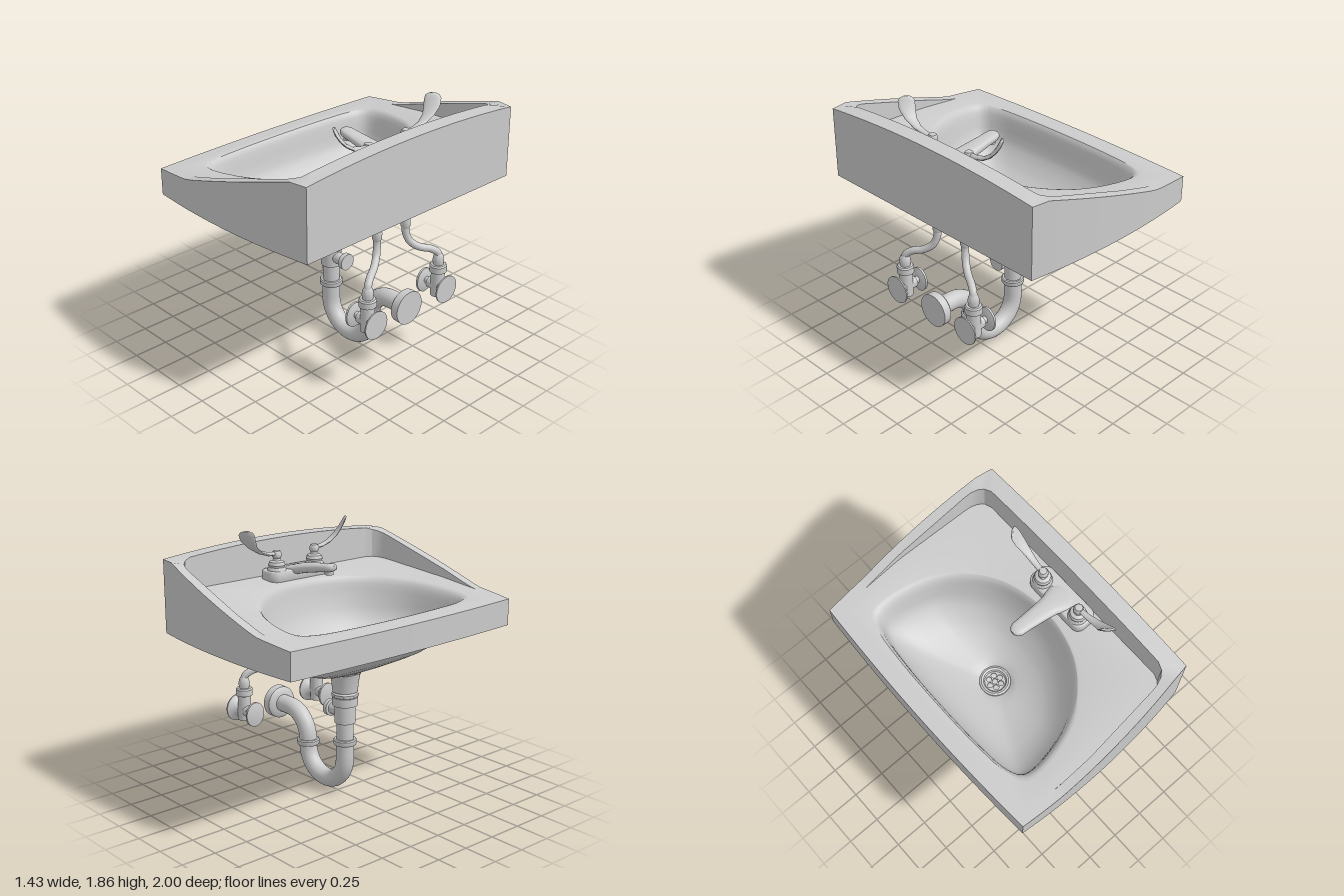
import * as THREE from 'three';
import { toCreasedNormals } from 'three/addons/utils/BufferGeometryUtils.js';

const mat = new THREE.MeshStandardMaterial({ color: 0xcccccc, side: THREE.DoubleSide });
const V = (x, y, z) => new THREE.Vector3(x, y, z);
const TAU = Math.PI * 2;

function add(parent, name, geo, pos = [0, 0, 0], crease = 0.6) {
  const mesh = new THREE.Mesh(toCreasedNormals(geo, crease), mat);
  mesh.name = name;
  mesh.position.set(...pos);
  parent.add(mesh);
  return mesh;
}

// Turned part: profile of [radius, height], optionally laid along +x
function turned(parent, name, profile, pos, alongX = false, segments = 32) {
  const geo = new THREE.LatheGeometry(profile.map(([r, h]) => new THREE.Vector2(r, h)), segments);
  if (alongX) geo.rotateZ(-Math.PI / 2);
  return add(parent, name, geo, pos);
}

// Skin over closed rings of equal point count, with optional end caps
function loft(rings, capped = false) {
  const n = rings[0].length, index = [];
  for (let j = 0; j < rings.length - 1; j++) {
    for (let i = 0; i < n; i++) {
      const a = j * n + i, b = j * n + (i + 1) % n, d = a + n, c = b + n;
      index.push(a, d, b, b, d, c);
    }
  }
  if (capped) {
    const last = (rings.length - 1) * n;
    for (let i = 1; i < n - 1; i++) index.push(0, i, i + 1, last, last + i + 1, last + i);
  }
  const geo = new THREE.BufferGeometry().setFromPoints(rings.flat());
  geo.setIndex(index);
  return geo;
}

function interpolate(table, x) {
  if (x <= table[0][0]) return table[0][1];
  for (let i = 1; i < table.length; i++) {
    const [x0, y0] = table[i - 1], [x1, y1] = table[i];
    if (x <= x1) return y0 + (y1 - y0) * (x - x0) / (x1 - x0);
  }
  return table[table.length - 1][1];
}

// Distance from the drain centre to an outline, in a given direction
const CX = -0.08;
function reach(poly, angle) {
  const c = Math.cos(angle), s = Math.sin(angle);
  let best = 0;
  poly.forEach((p, i) => {
    const q = poly[(i + 1) % poly.length];
    const px = p.x - CX, ex = q.x - p.x, ey = q.y - p.y;
    const det = c * ey - s * ex;
    if (Math.abs(det) < 1e-9) return;
    const t = (px * ey - p.y * ex) / det, u = (px * s - p.y * c) / det;
    if (u >= -1e-6 && u <= 1 + 1e-6) best = Math.max(best, t);
  });
  return best;
}

function basin(parent) {
  const BASE = 1.19, FRONT = -0.69, BACK = 0.705;
  // Outer outline: bowed front and sides, straight back
  const sideZ = x => 1 - 0.098 * (x + 0.15) ** 2;
  const side = Array.from({ length: 25 }, (_, i) => FRONT + (BACK - FRONT) * i / 24);
  const outer = [
    ...side.map(x => new THREE.Vector2(x, -sideZ(x))),
    ...side.map(x => new THREE.Vector2(x, sideZ(x))).reverse(),
  ];
  for (let i = 1; i < 24; i++) {
    const k = 1 - i / 12;
    outer.push(new THREE.Vector2(FRONT - 0.03 * (1 - k * k), k * sideZ(FRONT)));
  }
  // Sunken deck outline
  const deckShape = new THREE.Shape();
  deckShape.moveTo(-0.62, -0.925);
  deckShape.lineTo(-0.4, -0.93);
  deckShape.lineTo(-0.1, -0.935);
  deckShape.lineTo(0.46, -0.9);
  deckShape.quadraticCurveTo(0.575, -0.885, 0.587, -0.8);
  deckShape.lineTo(0.587, 0.8);
  deckShape.quadraticCurveTo(0.575, 0.885, 0.46, 0.9);
  deckShape.lineTo(-0.1, 0.935);
  deckShape.lineTo(-0.4, 0.93);
  deckShape.lineTo(-0.62, 0.925);
  const inner = deckShape.getPoints(10);
  // D-shaped bowl mouth
  const half = [[-0.56, 0.4], [-0.535, 0.63], [-0.485, 0.735], [-0.4, 0.76], [-0.2, 0.735],
    [0, 0.66], [0.17, 0.52], [0.28, 0.36], [0.34, 0.17]];
  const mouthPts = [[-0.57, 0], ...half, [0.355, 0], ...half.map(([x, z]) => [x, -z]).reverse()];
  const mouth = new THREE.CatmullRomCurve3(mouthPts.map(([x, z]) => V(x, z, 0)), true).getPoints(120);

  const corners = [BACK, FRONT].map(x => Math.atan2(sideZ(x), x - CX));
  const angles = [...corners, ...corners.map(a => TAU - a)];
  for (let i = 0; i < 144; i++) angles.push(i / 144 * TAU);
  angles.sort((a, b) => a - b);
  const rOuter = angles.map(a => reach(outer, a));
  const rInner = angles.map(a => reach(inner, a));
  const rMouth = angles.map(a => reach(mouth, a));

  const rimTable = [[-0.72, 1.375], [-0.4, 1.405], [-0.32, 1.425], [0.58, 1.7]];
  const rimY = (x, z) => interpolate(rimTable, x) + (x > 0.57 ? 0.05 * Math.max(0, 1 - (z / 0.93) ** 2) : 0);
  const deckY = x => interpolate([[-0.72, 1.375], [-0.4, 1.405], [0.6, 1.495]], x);
  const ring = (radius, height) => angles.map((a, i) => {
    const r = radius(i), x = CX + r * Math.cos(a), z = r * Math.sin(a);
    return V(x, height(x, z), z);
  });
  const rings = [
    ring(i => rMouth[i] * 1.06, () => BASE),
    ring(i => rOuter[i], () => BASE),
    ring(i => rOuter[i], rimY),
    ring(i => rInner[i], rimY),
    ring(i => rInner[i] * 0.998, deckY),
  ];
  // Rounded lip, then the bowl shrinking into the round drain
  for (const [s, drop] of [[1.04, 0], [1.01, 0.005], [0.985, 0.02], [0.965, 0.05], [0.95, 0.09]])
    rings.push(ring(i => rMouth[i] * s, x => deckY(x) - drop));
  for (const [s, y, squeeze, round] of [[0.93, 1.25, 0.05, 0], [0.91, 1.19, 0.1, 0], [0.87, 1.145, 0.12, 0],
    [0.8, 1.1, 0.13, 0], [0.73, 1.06, 0.14, 0], [0.655, 1.025, 0.14, 0.02], [0.55, 0.99, 0.14, 0.06],
    [0.44, 0.957, 0.12, 0.15], [0.34, 0.934, 0.1, 0.35], [0.26, 0.916, 0, 0.65], [0.22, 0.9, 0, 1]])
    rings.push(ring(i => rMouth[i] * s * (1 - squeeze * Math.max(0, Math.cos(angles[i]))) * (1 - round) + 0.105 * round, () => y));
  add(parent, 'basin', loft(rings), [0, 0, 0], 0.5);

  // Drain ring and perforated strainer
  turned(parent, 'drainRing', [[0.11, 0.9], [0.108, 0.912], [0.095, 0.918], [0.08, 0.912], [0.07, 0.895]], [CX, 0, 0]);
  const plate = new THREE.Shape().absarc(0, 0, 0.072, 0, TAU);
  for (let i = 0; i < 7; i++) {
    const r = i ? 0.044 : 0, a = i * TAU / 6;
    plate.holes.push(new THREE.Path().absarc(r * Math.cos(a), r * Math.sin(a), 0.019, 0, TAU, true));
  }
  const strainer = new THREE.ExtrudeGeometry(plate, { depth: 0.01, bevelEnabled: false, curveSegments: 12 });
  add(parent, 'strainer', strainer.rotateX(-Math.PI / 2), [CX, 0.89, 0]);
}

function drainPipe(parent) {
  turned(parent, 'tailpiece', [[0.06, 0.4], [0.06, 0.54], [0.073, 0.54], [0.073, 0.67], [0.09, 0.67], [0.09, 0.73],
    [0.07, 0.73], [0.07, 0.77], [0.088, 0.77], [0.1, 0.87], [0.108, 0.9], [0.07, 0.885], [0, 0.885]], [CX, 0, 0]);
  turned(parent, 'tailpieceNut', [[0.08, 0.725], [0.095, 0.735], [0.095, 0.755], [0.08, 0.77]], [CX, 0, 0], false, 8);
  turned(parent, 'branch', [[0.042, 0], [0.042, 0.13], [0.06, 0.135], [0.06, 0.168], [0, 0.168]], [CX, 0.61, 0], true);
  // Trap: U bend, then a quarter turn towards the wall
  const path = [V(CX, 0.42, 0), V(CX, 0.34, 0)];
  for (let i = 0; i <= 12; i++) {
    const a = Math.PI * (1 + i / 12);
    path.push(V(0.122 + 0.202 * Math.cos(a), 0.267 + 0.202 * Math.sin(a), 0));
  }
  for (let i = 0; i <= 8; i++) {
    const a = Math.PI * (1 - i / 16);
    path.push(V(0.524 + 0.2 * Math.cos(a), 0.3 + 0.2 * Math.sin(a), 0));
  }
  path.push(V(0.6, 0.5, 0), V(0.68, 0.5, 0));
  add(parent, 'trap', new THREE.TubeGeometry(new THREE.CatmullRomCurve3(path), 96, 0.064, 24));
  const collar = [[0.06, -0.022], [0.077, -0.02], [0.082, -0.01], [0.082, 0.014], [0.075, 0.022], [0.06, 0.022]];
  turned(parent, 'trapCollar', collar, [CX, 0.397, 0]);
  turned(parent, 'trapCollar', collar, [0.324, 0.284, 0]);
  turned(parent, 'drainWallFlange', [[0.062, 0], [0.1, 0.005], [0.118, 0.02], [0.12, 0.078], [0, 0.078]], [0.61, 0.5, 0], true);
}

// Supply line and stop valve on one side
function supply(parent, s) {
  const g = new THREE.Group();
  g.name = 'supplyLine';
  parent.add(g);
  const z0 = 0.135 * s, z1 = 0.34 * s, X = 0.63;
  turned(g, 'supplyConnector', [[0.025, 0.99], [0.034, 1.01], [0.034, 1.05], [0.03, 1.07], [0.036, 1.09], [0.052, 1.095],
    [0.056, 1.105], [0.056, 1.135], [0.05, 1.145], [0.032, 1.145], [0.032, 1.155], [0.045, 1.155], [0.045, 1.19]], [0.505, 0, z0]);
  const path = [V(0.505, 1.02, z0), V(0.507, 0.96, z0 * 1.01), V(0.525, 0.89, 0.16 * s), V(0.56, 0.84, 0.215 * s),
    V(0.603, 0.81, 0.295 * s), V(0.627, 0.775, 0.335 * s), V(X, 0.73, z1)];
  add(g, 'supplyTube', new THREE.TubeGeometry(new THREE.CatmullRomCurve3(path), 40, 0.026, 16));
  turned(g, 'valveBody', [[0, 0.445], [0.048, 0.45], [0.048, 0.63], [0.06, 0.635], [0.06, 0.68], [0.052, 0.69],
    [0.036, 0.69], [0.04, 0.72], [0.036, 0.75], [0.025, 0.77]], [X, 0, z1]);
  turned(g, 'valveStem', [[0.025, 0.5], [0.025, 0.56], [0.042, 0.56], [0.042, 0.68]], [0, 0.52, z1], true);
  turned(g, 'valveWallFlange', [[0.04, 0.655], [0.055, 0.68], [0.1, 0.705], [0.1, 0.715], [0, 0.715]], [0, 0.52, z1], true);
  const knob = turned(g, 'valveHandle', [[0, 0], [0.06, 0], [0.09, 0.008], [0.09, 0.024], [0.06, 0.036], [0, 0.036]],
    [0.492, 0.515, z1], true);
  knob.scale.z = 0.85;
}

function faucet(parent) {
  const g = new THREE.Group();
  g.name = 'faucet';
  g.position.z = 0.02;
  parent.add(g);
  // Base plate
  const w = 0.088, l = 0.25, r = 0.06;
  const base = new THREE.Shape();
  base.absarc(w - r, l - r, r, 0, TAU / 4);
  base.absarc(r - w, l - r, r, TAU / 4, TAU / 2);
  base.absarc(r - w, r - l, r, TAU / 2, TAU * 0.75);
  base.absarc(w - r, r - l, r, TAU * 0.75, TAU);
  const plate = new THREE.ExtrudeGeometry(base, { depth: 0.05, bevelSize: 0.016, bevelThickness: 0.018, bevelOffset: -0.016, bevelSegments: 4 });
  add(g, 'faucetBase', plate.rotateX(-Math.PI / 2), [0.488, 1.485, 0], 0.7);
  // Flattened spout flaring into the base and rising to a rounded tip
  const spout = [[0.55, 1.525, 0.08, 0.024], [0.48, 1.535, 0.105, 0.035], [0.415, 1.548, 0.088, 0.038], [0.38, 1.556, 0.075, 0.037],
    [0.3, 1.572, 0.065, 0.034], [0.18, 1.592, 0.055, 0.03], [0.1, 1.604, 0.051, 0.029], [0.07, 1.608, 0.038, 0.024], [0.057, 1.61, 0.018, 0.013]];
  const rings = spout.map(([x, y, hz, hy]) => Array.from({ length: 24 }, (_, i) => {
    const a = i / 24 * TAU, sq = v => Math.sign(v) * Math.abs(v) ** 0.75;
    return V(x, y + hy * sq(Math.sin(a)), hz * sq(Math.cos(a)));
  }));
  add(g, 'spout', loft(rings.reverse(), true), [0, 0, 0], 0.9);
  turned(g, 'aerator', [[0, 1.555], [0.03, 1.555], [0.032, 1.595]], [0.11, 0, 0]);

  for (const s of [-1, 1]) {
    turned(g, 'handleHub', [[0.068, 1.53], [0.066, 1.56], [0.056, 1.575], [0.06, 1.59], [0.052, 1.612], [0.03, 1.622],
      [0.024, 1.635], [0.034, 1.65], [0.034, 1.67], [0.025, 1.688], [0, 1.692]], [0.47, 0, 0.17 * s]);
    // Twisted lever sweeping outwards and up: [x, y, z, half width, half thickness, twist]
    const lever = [[0.47, 1.665, 0.17, 0.018, 0.014, 0], [0.472, 1.672, 0.24, 0.021, 0.014, 0.05], [0.477, 1.692, 0.31, 0.028, 0.012, 0.2],
      [0.476, 1.735, 0.375, 0.04, 0.011, 0.42], [0.467, 1.785, 0.415, 0.055, 0.011, 0.6], [0.455, 1.83, 0.437, 0.056, 0.011, 0.7],
      [0.448, 1.85, 0.443, 0.046, 0.01, 0.72], [0.443, 1.861, 0.446, 0.02, 0.007, 0.72]];
    const sections = lever.map(([x, y, z, hw, ht, twist], j) => {
      const p = lever[Math.max(0, j - 1)], q = lever[Math.min(lever.length - 1, j + 1)];
      const t = Math.atan2(q[1] - p[1], q[2] - p[2]), ct = Math.cos(twist), st = Math.sin(twist);
      const ring = Array.from({ length: 16 }, (_, i) => {
        const a = s * i / 16 * TAU, v = hw * Math.cos(a), u = ht * Math.sin(a), lean = u * Math.sin(t);
        return V(x + v * ct + lean * st, y + u * Math.cos(t), s * (z + v * st - lean * ct));
      });
      return ring.reverse();
    });
    add(g, 'handleLever', loft(sections, true), [0, 0, 0], 0.9);
  }
}

export function createModel() {
  const model = new THREE.Group();
  model.name = 'wallSink';
  basin(model);
  drainPipe(model);
  supply(model, 1);
  supply(model, -1);
  faucet(model);
  return model;
}
